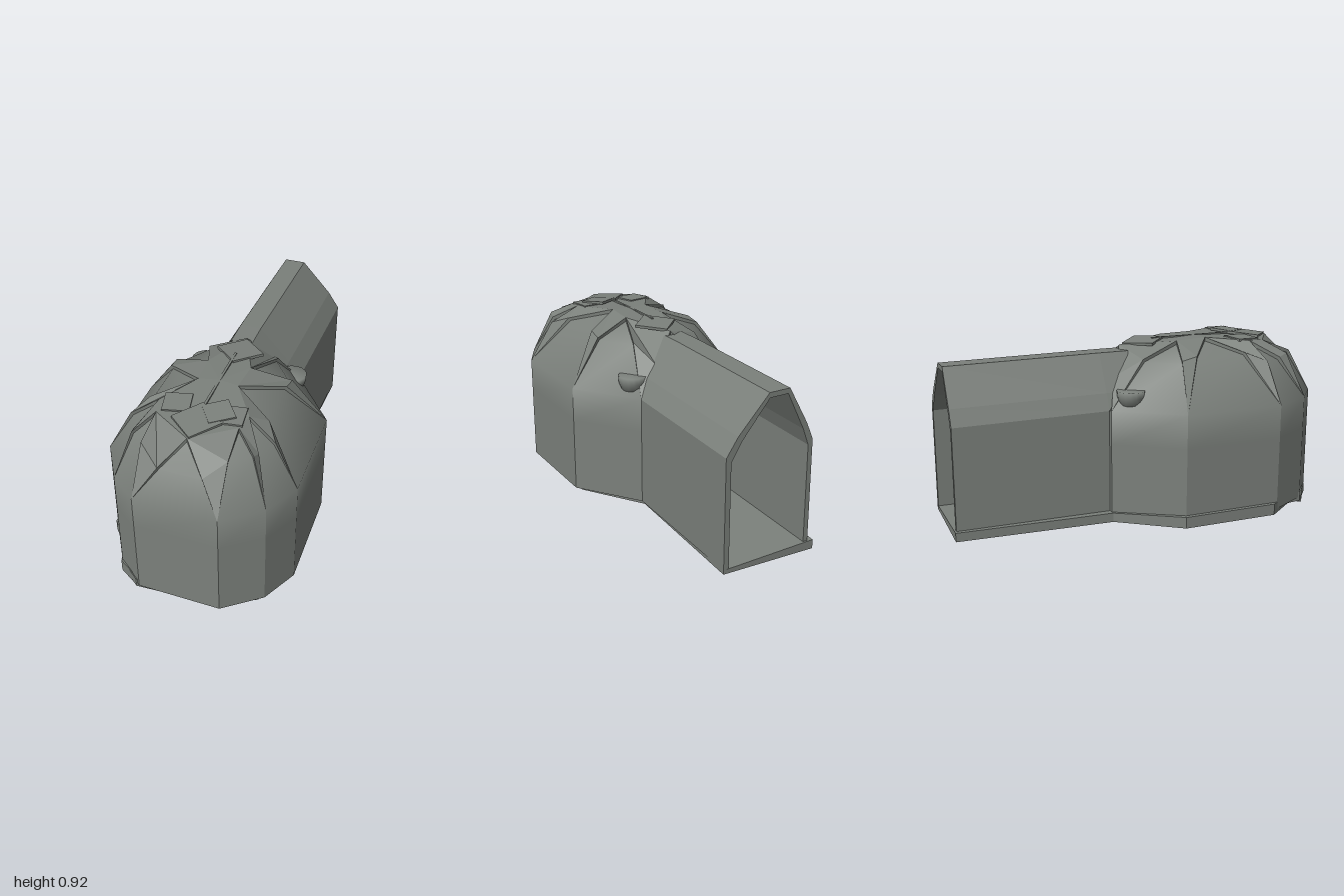
import * as THREE from 'three';

const stone = new THREE.MeshStandardMaterial({ color: 0x7b807b, side: THREE.DoubleSide });
stone.name = 'grey stone';

// Plan corners of the room, from the back left corner round the front to the back right one
const plan = [[0.25, -0.19], [0.48, 0.13], [0.48, 0.68], [0.385, 0.865], [0.2, 1],
  [-0.22, 0.98], [-0.355, 0.87], [-0.47, 0.66], [-0.47, 0.13], [-0.25, -0.19]];
// Vault peak over each wall, and how far its sides bulge; the last one is over the corridor opening
const peaks = [[0.11, 0.88, 0.23], [0.1, 0.885, 0.4], [0.22, 0.875, 0.6], [0.2, 0.87, 0.69], [0, 0.86, 0.82],
  [-0.2, 0.87, 0.69], [-0.22, 0.875, 0.6], [-0.1, 0.885, 0.4], [-0.11, 0.88, 0.23], [0, 0.86, -0.05]];
const bulges = [0.08, 0.095, 0.06, 0.08, 0.01, 0.08, 0.06, 0.095, 0.08, 0];
const SPRING = 0.595, FOOT = 0.03;

function mesh(name, geometry) {
  const m = new THREE.Mesh(geometry, stone);
  m.name = name;
  return m;
}

// Flat-shaded mesh from a list of triangles
function facets(name, tris) {
  const g = new THREE.BufferGeometry();
  g.setAttribute('position', new THREE.Float32BufferAttribute(tris.flat(2), 3));
  g.computeVertexNormals();
  return mesh(name, g);
}

const quad = (a, b, c, d) => [[a, b, c], [a, c, d]];
const corner = (i, y) => [plan[i][0], y, plan[i][1]];

// Halfway point on the curved edge from a corner to a peak
function shoulder(c, bay) {
  const p = peaks[bay];
  return [(c[0] + p[0]) / 2, (c[1] + p[1]) / 2 + bulges[bay], (c[2] + p[2]) / 2];
}

// One wall and the vault panel above it, bending smoothly from one into the other
function bay(i) {
  const j = i + 1, a = corner(i, SPRING), b = corner(j, SPRING);
  const points = [corner(i, FOOT), corner(j, FOOT), corner(i, 0.42), corner(j, 0.42),
    a, b, shoulder(a, i), shoulder(b, i), peaks[i]];
  const g = new THREE.BufferGeometry();
  g.setAttribute('position', new THREE.Float32BufferAttribute(points.flat(), 3));
  const index = [];
  for (let k = 0; k < 6; k += 2) index.push(k, k + 2, k + 1, k + 1, k + 2, k + 3);
  g.setIndex([...index, 6, 8, 7]);
  g.computeVertexNormals();
  return mesh('wallBay', g);
}

// Raised panels that flare up from each corner between the bays, and the crown they meet at
function groins() {
  const tris = [], n = plan.length, crown = [0, 0.905, 0.38];
  for (let i = 0; i < n; i++) {
    const before = (i + n - 1) % n, c = corner(i, SPRING);
    const out = new THREE.Vector3(c[0], 0, c[2] - 0.4).normalize().multiplyScalar(0.012);
    const up = p => [p[0] + out.x, p[1] + 0.014, p[2] + out.z];
    const top = p => [p[0], p[1] + 0.02, p[2]];
    const s0 = shoulder(c, before), s1 = shoulder(c, i), p0 = peaks[before], p1 = peaks[i];
    tris.push([c, up(s0), up(s1)], ...quad(up(s0), top(p0), top(p1), up(s1)), [top(p0), crown, top(p1)]);
    // Exposed edges of the panel
    for (const [s, p] of [[s0, p0], [s1, p1]]) tris.push([c, s, up(s)], ...quad(s, p, top(p), up(s)));
  }
  return facets('vaultGroins', tris);
}

function room() {
  const g = new THREE.Group();
  g.name = 'room';
  for (let i = 0; i < plan.length - 1; i++) g.add(bay(i));
  g.add(groins());
  return g;
}

// Corridor: a pointed barrel profile, with inner and outer skin
function corridor() {
  const g = new THREE.Group();
  g.name = 'corridor';
  const outer = [[0.25, FOOT], [0.25, 0.59], [0.19, 0.68], [0.03, 0.855], [-0.08, 0.857], [-0.185, 0.67], [-0.222, 0.585], [-0.225, FOOT]];
  const inner = outer.map(([x, y]) => [x * 0.89, y > 0.5 ? y - 0.025 : y]);
  const ring = (p, z, s, dy) => p.map(([x, y]) => [x + s, y > 0.5 ? y + dy : y, z]);
  const back = ring(outer, -0.99, 0.02, -0.005), backIn = ring(inner, -0.99, 0.02, -0.005);
  const mid = ring(outer, -0.19, 0, 0.005), midIn = ring(inner, -0.19, 0, 0.005);
  const skin = [], lining = [], rim = [];
  for (let i = 0; i < outer.length - 1; i++) {
    skin.push(...quad(back[i], back[i + 1], mid[i + 1], mid[i]));
    lining.push(...quad(backIn[i], midIn[i], midIn[i + 1], backIn[i + 1]));
    rim.push(...quad(back[i], backIn[i], backIn[i + 1], back[i + 1]));
    // Roof runs on into the vault
    if (i > 0 && i < outer.length - 2) {
      const push = p => [p[0], p[1], p[1] > 0.8 ? -0.03 : p[1] > 0.64 ? -0.1 : -0.19];
      skin.push(...quad(mid[i], mid[i + 1], push(mid[i + 1]), push(mid[i])));
    }
  }
  // Narrow return closing the corridor against the room
  rim.push(...quad(mid[7], [-0.25, FOOT, -0.19], [-0.25, 0.6, -0.19], mid[6]));
  g.add(facets('corridorSkin', skin), facets('corridorLining', lining), facets('corridorRim', rim));
  return g;
}

// Floor slab, set a little to one side and thicker there
function floor() {
  const outline = [[0.235, -0.19], [0.445, 0.13], [0.445, 0.68], [0.355, 0.87], [0.175, 0.965], [-0.24, 0.97], [-0.36, 0.87],
    [-0.37, 0.79], [-0.495, 0.63], [-0.495, 0.12], [-0.27, -0.19], [-0.23, -1], [0.27, -0.99]];
  const s = new THREE.Shape(outline.map(([x, z]) => new THREE.Vector2(x, -z)));
  const geo = new THREE.ExtrudeGeometry(s, { depth: 1, bevelEnabled: false }).rotateX(-Math.PI / 2);
  const p = geo.attributes.position;
  for (let i = 0; i < p.count; i++) p.setY(i, p.getY(i) > 0.5 ? 0.045 - 0.05 * p.getX(i) : 0.01);
  geo.computeVertexNormals();
  return mesh('floorSlab', geo);
}

// Rounded bracket cup beside the corridor mouth
function bracket(side) {
  const profile = [[0, -0.095], [0.035, -0.088], [0.058, -0.07], [0.07, -0.035], [0.073, 0], [0, 0]];
  const cup = mesh(side > 0 ? 'leftBracket' : 'rightBracket',
    new THREE.LatheGeometry(profile.map(([x, y]) => new THREE.Vector2(x, y)), 16));
  cup.position.set(0.24 * side, 0.692, -0.08);
  return cup;
}

export function createModel() {
  const model = new THREE.Group();
  model.name = 'vaultedChapel';
  model.add(room(), corridor(), floor(), bracket(1), bracket(-1));

  // Loose square slabs along the crown: x, y, z, size, turn, tilt
  for (const [x, y, z, size, turn, tilt] of [
    [0.01, 0.89, 0.09, 0.17, 0.8, -0.08], [0, 0.893, 0.7, 0.17, 0.85, 0.1],
    [0.08, 0.902, 0.62, 0.13, 0.6, 0.08], [-0.13, 0.894, 0.6, 0.13, 0.2, 0.04], [0.14, 0.893, 0.62, 0.13, 0.1, 0.03]]) {
    const slab = mesh('crownSlab', new THREE.BoxGeometry(size, 0.014, size));
    slab.position.set(x, y, z);
    slab.rotation.set(tilt, turn, 0);
    model.add(slab);
  }
  // Thin ridge seam
  const seam = mesh('ridgeSeam', new THREE.BoxGeometry(0.012, 0.008, 0.45));
  seam.position.set(0, 0.902, 0.36);
  model.add(seam);
  // Small foot block at the front corner
  const foot = mesh('footBlock', new THREE.BoxGeometry(0.1, 0.065, 0.05));
  foot.position.set(-0.3, 0.0325, 0.89);
  foot.rotation.y = -0.6;
  model.add(foot);
  return model;
}
